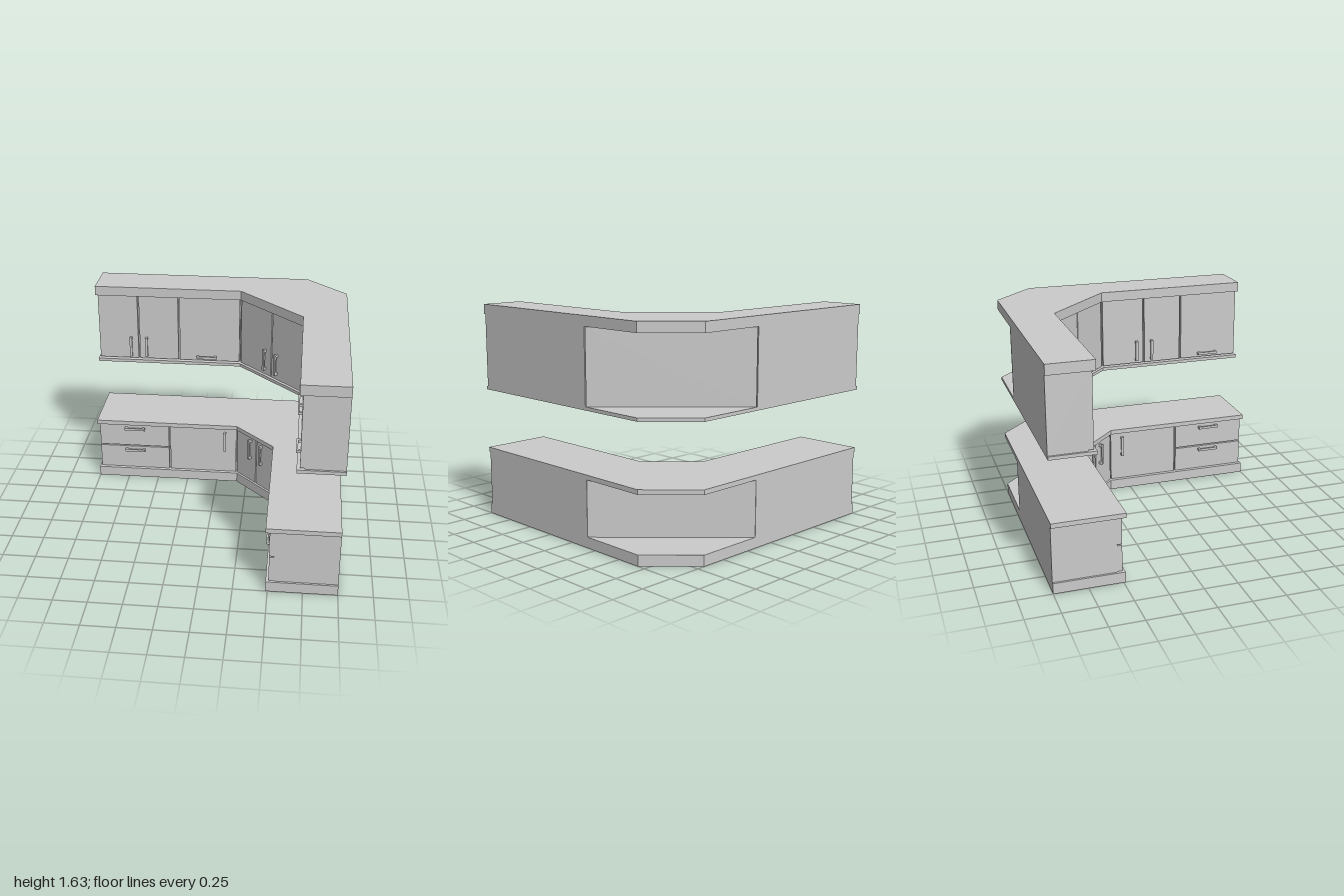
import * as THREE from 'three';

const mat = new THREE.MeshStandardMaterial({ color: 0xcccccc, flatShading: true });
const DOOR = 0.035; // door thickness

function box(parent, name, x0, x1, y0, y1, z0, z1) {
  const m = new THREE.Mesh(new THREE.BoxGeometry(x1 - x0, y1 - y0, z1 - z0), mat);
  m.position.set((x0 + x1) / 2, (y0 + y1) / 2, (z0 + z1) / 2);
  m.name = name;
  parent.add(m);
}

// Upright prism over a floor plan of [x, z] points, with an optional hole
function slab(parent, name, plan, y0, y1, hole) {
  const pts = p => p.map(([x, z]) => new THREE.Vector2(x, -z));
  const shape = new THREE.Shape(pts(plan));
  if (hole) shape.holes.push(new THREE.Path(pts(hole)));
  const geo = new THREE.ExtrudeGeometry(shape, { depth: y1 - y0, bevelEnabled: false });
  geo.rotateX(-Math.PI / 2);
  const m = new THREE.Mesh(geo, mat);
  m.position.y = y0;
  m.name = name;
  parent.add(m);
}

// L-shaped plan with cut corner: f = front edge, c = inner corner start, w = inset
function outline(f, c, w = 0) {
  const k = 0.414 * w, e = 1 - w, g = f + w;
  const half = [[-g, -e], [-e, -e], [-e, 0.69 - k]]; // only used for orientation of the numbers below
  const back = half[2][1];
  return [[-e, -e], [back, -e], [e, -back], [e, e], [g, e], [g, -c - k], [c + k, -g], [-e, -g]];
}

// Bow handle standing on the plane z, centred on x, y
function handle(parent, x, y, z, vertical, len = 0.165) {
  const h = new THREE.Group(), t = 0.01, l = len / 2;
  h.name = 'handle';
  box(h, 'handleBar', -t, t, -l, l, 0.018, 0.03);
  for (const s of [-1, 1]) {
    const c = s * (l - t);
    box(h, 'handlePost', -t, t, c - t, c + t, 0, 0.02);
  }
  h.position.set(x, y, z);
  if (!vertical) h.rotation.z = Math.PI / 2;
  parent.add(h);
}

// Straight run of cabinets along x, facing +z.
// fronts: [x0, x1, y0, y1]; handles: [x, y, vertical]
function wing(name, x0, x1, y0, y1, front, fronts, handles) {
  const g = new THREE.Group();
  g.name = name;
  box(g, 'carcass', x0, x1, y0, y1, -1, -front - DOOR);
  for (const [a, b, c, d] of fronts) box(g, 'doorFront', a, b, c, d, -front - DOOR, -front);
  for (const [x, y, v] of handles) handle(g, x, y, -front, v);
  return g;
}

// Diagonal corner cabinet with a pair of doors
function corner(name, y0, y1, front, c, handleY) {
  const g = new THREE.Group();
  g.name = name;
  const d = DOOR, k = 0.414 * d;
  slab(g, 'cornerCarcass', [[c + 0.005, -1], [1, -c - 0.005], [front + d, -c - k], [c + k, -front - d]], y0, y1);
  const doors = new THREE.Group();
  doors.name = 'cornerDoors';
  const half = (front - c) / Math.SQRT2, mid = (front + c) / 2;
  for (const s of [-1, 1]) {
    const a = s * 0.005, b = s * (half - 0.002);
    box(doors, 'cornerDoor', Math.min(a, b), Math.max(a, b), y0 + 0.005, y1 - 0.005, -d, 0);
    handle(doors, s * 0.066, handleY, 0, true, 0.172);
  }
  doors.position.set(mid, 0, -mid);
  doors.rotation.y = -Math.PI / 4;
  g.add(doors);
  return g;
}

export function createModel() {
  const root = new THREE.Group();
  root.name = 'cornerKitchen';

  // Base: hollow plinth, its lid and the countertop
  const base = new THREE.Group();
  base.name = 'baseUnits';
  root.add(base);
  slab(base, 'plinth', outline(0.485, 0.17), 0, 0.06, outline(0.485, 0.17, 0.04));
  slab(base, 'plinthTop', outline(0.485, 0.17), 0.06, 0.08);
  slab(base, 'countertop', outline(0.476, 0.165), 0.495, 0.53);

  // Base wings: two drawers and a door, mirrored around the corner
  for (const s of [1, -1]) {
    const span = (a, b) => (s > 0 ? [a, b] : [-b, -a]);
    const fronts = [
      [...span(-0.985, -0.405), 0.085, 0.283],
      [...span(-0.985, -0.405), 0.293, 0.488],
      [...span(-0.392, 0.16), 0.085, 0.488],
    ];
    const handles = [[-0.69 * s, 0.255, false], [-0.69 * s, 0.455, false], [0.066 * s, 0.373, true]];
    const w = wing(s > 0 ? 'backBaseWing' : 'sideBaseWing', ...span(-0.985, 0.17), 0.08, 0.495, 0.505, fronts, handles);
    if (s < 0) w.rotation.y = -Math.PI / 2;
    base.add(w);
  }
  base.add(corner('baseCorner', 0.08, 0.495, 0.505, 0.167, 0.378));

  // Wall units: bottom board and cornice
  const wall = new THREE.Group();
  wall.name = 'wallUnits';
  root.add(wall);
  slab(wall, 'bottomBoard', outline(0.668, 0.172), 0.985, 1.01);
  slab(wall, 'cornice', outline(0.668, 0.172), 1.56, 1.635);

  // Wall wings: two doors and a flap each
  const y0 = 1.018, y1 = 1.558;
  wall.add(wing('backWallWing', -0.985, 0.17, 1.01, 1.56, 0.69,
    [[-0.985, -0.667, y0, y1], [-0.654, -0.337, y0, y1], [-0.324, 0.162, y0, y1]],
    [[-0.725, 1.123, true], [-0.598, 1.123, true], [-0.105, 1.05, false]]));
  const side = wing('sideWallWing', -0.17, 0.985, 1.01, 1.56, 0.69,
    [[-0.162, 0.177, y0, y1], [0.19, 0.495, y0, y1], [0.508, 0.985, y0, y1]],
    [[0.12, 1.123, true], [0.248, 1.123, true], [0.738, 1.05, false]]);
  side.rotation.y = -Math.PI / 2;
  wall.add(side);
  wall.add(corner('wallCorner', 1.01, 1.56, 0.69, 0.175, 1.143));

  return root;
}
